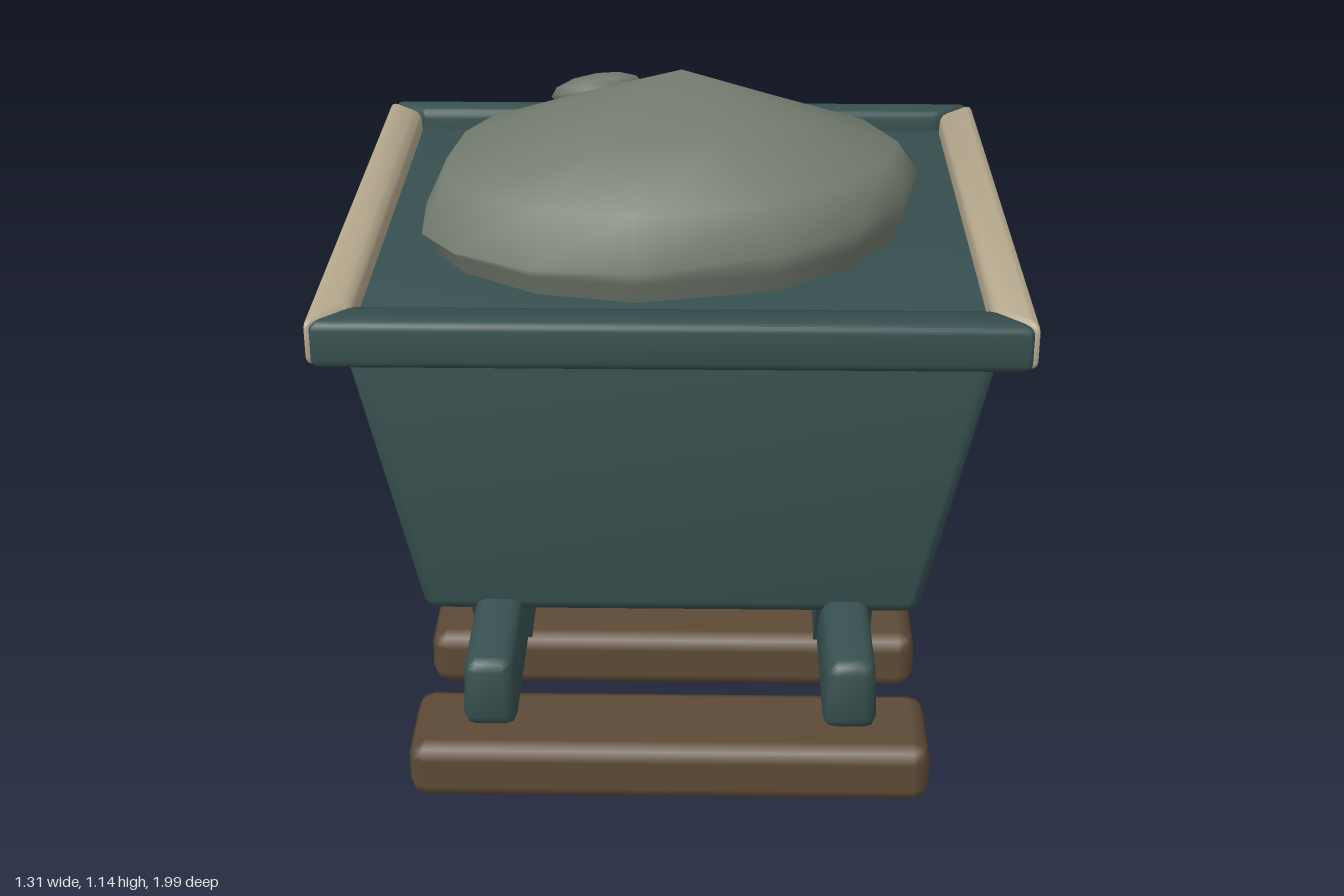
import * as THREE from 'three';
import { RoundedBoxGeometry } from 'three/addons/geometries/RoundedBoxGeometry.js';
import { toCreasedNormals } from 'three/addons/utils/BufferGeometryUtils.js';

const material = (name, color) => {
  const m = new THREE.MeshStandardMaterial({ color });
  m.name = name;
  return m;
};

// Moves every vertex by a rule, then rebuilds the normals
function reshape(geometry, rule) {
  const p = geometry.attributes.position;
  const v = new THREE.Vector3();
  for (let i = 0; i < p.count; i++) {
    rule(v.fromBufferAttribute(p, i));
    p.setXYZ(i, v.x, v.y, v.z);
  }
  return toCreasedNormals(geometry, 0.9);
}

// Closed stone from an [x, z] outline, stacked rings and an apex
function stoneGeometry(outline, center, rings, apex) {
  const n = outline.length;
  const pos = [];
  const index = [];
  for (const [scale, height] of rings) {
    for (const [x, z] of outline) {
      pos.push(center[0] + (x - center[0]) * scale, height(x, z), center[1] + (z - center[1]) * scale);
    }
  }
  const top = rings.length * n;
  pos.push(...apex);
  for (let r = 0; r < rings.length; r++) {
    for (let i = 0; i < n; i++) {
      const a = r * n + i, b = r * n + (i + 1) % n;
      if (r === rings.length - 1) index.push(a, b, top);
      else index.push(a, b, b + n, a, b + n, a + n);
    }
  }
  const g = new THREE.BufferGeometry();
  g.setAttribute('position', new THREE.Float32BufferAttribute(pos, 3));
  g.setIndex(index);
  g.computeVertexNormals();
  return g;
}

export function createModel() {
  const model = new THREE.Group();
  model.name = 'mineCart';
  const teal = material('darkTealMetal', 0x385050);
  const cream = material('creamTrim', 0xb5a88d);
  const brown = material('brownWood', 0x5d4a36);
  const grey = material('greyStone', 0x747d70);

  const add = (name, geometry, mat, x, y, z) => {
    const mesh = new THREE.Mesh(geometry, mat);
    mesh.name = name;
    mesh.position.set(x, y, z);
    model.add(mesh);
    return mesh;
  };

  // Sleepers
  const sleeper = new RoundedBoxGeometry(0.95, 0.115, 0.2, 1, 0.03);
  for (let i = 0; i < 5; i++) add('sleeper', sleeper, brown, 0, 0.0855, 0.9 - i * 0.3675);

  // Track rails, narrowing toward the top, with six-sided wheels
  const track = reshape(new RoundedBoxGeometry(0.1, 0.14, 1.54, 1, 0.022), v => {
    v.x *= 0.94 - v.y * 1.0;
  });
  const wheel = new THREE.CylinderGeometry(0.17, 0.17, 0.108, 6).toNonIndexed();
  wheel.rotateY(Math.PI / 6).rotateZ(Math.PI / 2);
  wheel.rotateX(Math.PI / 2);
  // keep a flat face down
  wheel.computeBoundingBox();
  if (wheel.boundingBox.min.y < -0.16) wheel.rotateX(Math.PI / 6);
  wheel.computeVertexNormals();
  for (const side of [-1, 1]) {
    add('trackRail', track, teal, side * 0.33, 0.21, 0.16);
    for (const z of [0.53, -0.2]) add('wheel', wheel, teal, side * 0.33, 0.275, z);
  }

  // Tub with sides flaring outward
  const tub = reshape(new RoundedBoxGeometry(1, 0.59, 1.1, 2, 0.025), v => {
    v.x *= 0.94 + (v.y + 0.295) * 0.46;
  });
  add('tub', tub, teal, 0, 0.545, 0.16);

  // Mitred rim: teal on the ends, cream on the sides
  const rimBar = length => reshape(new RoundedBoxGeometry(length, 0.095, 0.08, 2, 0.018), v => {
    v.x *= 1 - (0.04 - v.z) / (length / 2);
  });
  const endBar = rimBar(1.31), sideBar = rimBar(1.2);
  add('frontRim', endBar, teal, 0, 0.834, 0.72);
  add('backRim', endBar, teal, 0, 0.834, -0.4).rotation.y = Math.PI;
  add('leftRim', sideBar, cream, 0.616, 0.834, 0.16).rotation.y = Math.PI / 2;
  add('rightRim', sideBar, cream, -0.616, 0.834, 0.16).rotation.y = -Math.PI / 2;

  // Load stone
  const outline = [
    [-0.5, 0.2], [-0.49, 0.36], [-0.42, 0.46], [-0.27, 0.56], [-0.07, 0.6], [0.2, 0.54],
    [0.35, 0.43], [0.45, 0.28], [0.485, 0.13], [0.42, -0.04], [0.28, -0.18], [0.17, -0.25],
    [0.04, -0.26], [-0.2, -0.23], [-0.34, -0.19], [-0.43, -0.11], [-0.48, 0.01],
  ];
  const shoulder = (x, z) => 0.99 + 0.02 * x + 0.045 * (z - 0.17);
  add('loadStone', stoneGeometry(outline, [0, 0.16], [
    [0.9, () => 0.78],
    [0.98, () => 0.88],
    [1, x => 0.91 + 0.05 * x],
    [0.91, shoulder],
    [0.5, (x, z) => 0.45 * shoulder(x, z) + 0.55 * 1.125],
  ], [0.01, 1.145, 0.13]), grey, 0, 0, 0);

  // Small lump on the back of the stone
  const lump = add('stoneLump', new THREE.SphereGeometry(0.1, 9, 6), grey, -0.165, 1.035, -0.065);
  lump.scale.set(1, 0.35, 0.95);
  lump.rotation.set(-0.35, 0, 0.15);

  // Boulder lying behind the track
  const boulder = add('rearBoulder', new THREE.SphereGeometry(1, 14, 10), brown, 0, 0.142, -0.725);
  boulder.scale.set(0.495, 0.14, 0.275);
  boulder.rotation.z = 0.04;

  return model;
}
